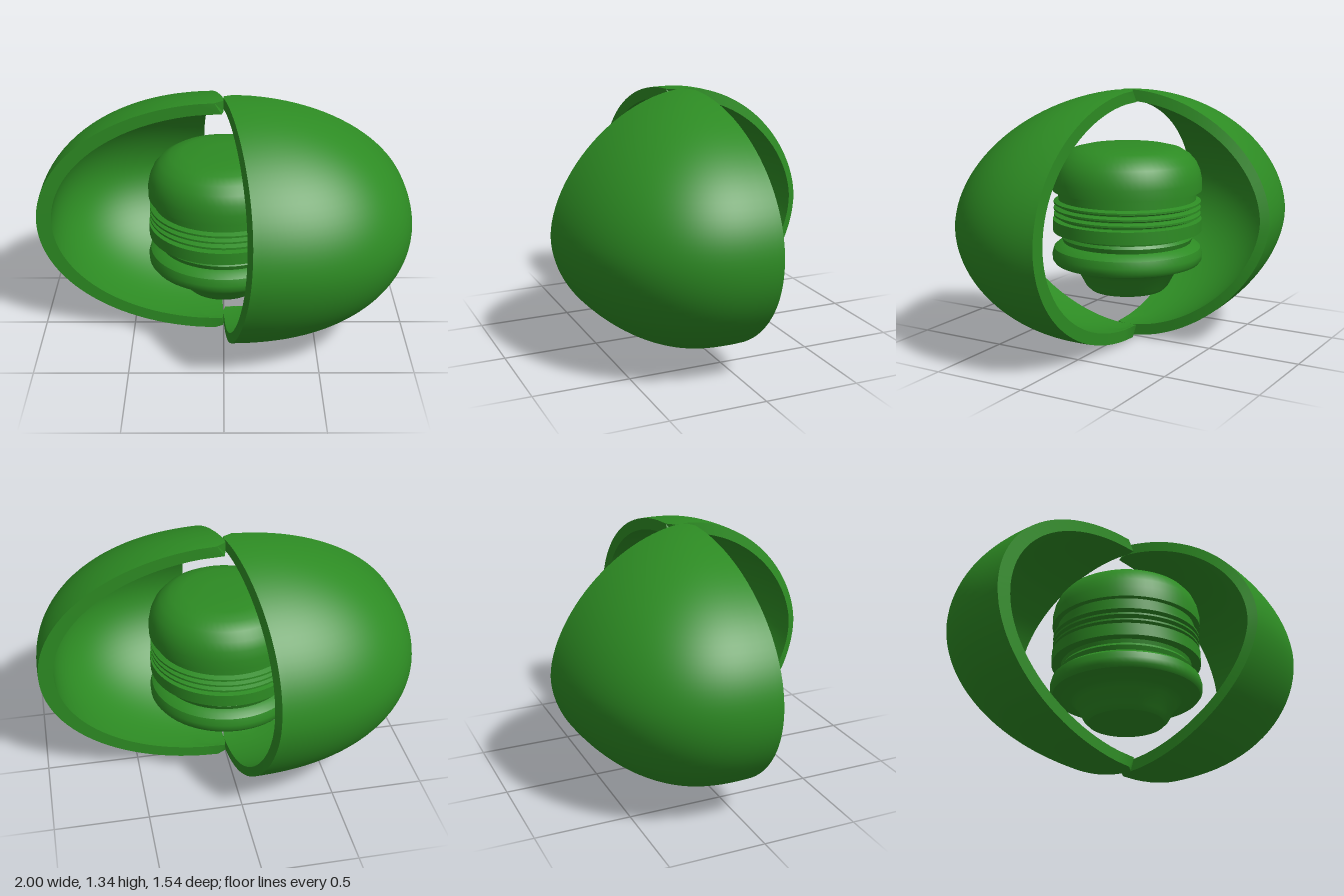
import * as THREE from 'three';
import { toCreasedNormals } from 'three/addons/utils/BufferGeometryUtils.js';

const CENTRE_Y = 0.675;
const PLAN = 2 / 2.35;  // squarish plan curve
const SIDE = 1.82;      // slightly pointed side curve

// Point on one shell skin: phi is latitude, t runs from the flat rim (0) to the leading edge (1)
function skinPoint(skin, phi, t) {
  const s = Math.sin(phi);
  const c = Math.max(Math.cos(phi), 1e-4);
  const cz = Math.max(1 - Math.abs(s) ** SIDE, 1e-6) ** (1 / SIDE);
  const rim = Math.min(1, (0.06 + 0.02 * c) / (skin.z * cz));
  const edge = skin.edge * (1 + 0.45 * s - 0.25 * s * s);
  const start = -Math.asin(rim ** (1 / PLAN));
  const end = Math.acos(edge ** (1 / PLAN));
  const a = start + (end - start) * t;
  const sin = Math.sin(a);
  return [
    skin.x * c * Math.cos(a) ** PLAN,
    CENTRE_Y + skin.y * s,
    skin.z * cz * Math.sign(sin) * Math.abs(sin) ** PLAN,
  ];
}

// Thick quarter-shell blade: closed loops (outer skin, then inner skin back) stacked by latitude
function bladeGeometry() {
  const outer = { x: 1.0, y: 0.672, z: 0.773, edge: 0.13 };
  const inner = { x: 0.92, y: 0.612, z: 0.728, edge: 0.115 };
  const rows = 56, cols = 40, loop = 2 * (cols + 1);
  const positions = [], index = [];
  for (let i = 0; i <= rows; i++) {
    const phi = (i / rows - 0.5) * Math.PI;
    for (let j = 0; j <= cols; j++) positions.push(...skinPoint(outer, phi, j / cols));
    for (let j = cols; j >= 0; j--) positions.push(...skinPoint(inner, phi, j / cols));
  }
  for (let i = 0; i < rows; i++) {
    for (let j = 0; j < loop; j++) {
      const k = (j + 1) % loop;
      const a = i * loop + j, b = a + loop, c = i * loop + k, d = c + loop;
      index.push(a, b, c, b, d, c);
    }
  }
  const g = new THREE.BufferGeometry();
  g.setAttribute('position', new THREE.Float32BufferAttribute(positions, 3));
  g.setIndex(index);
  return toCreasedNormals(g, 0.7);
}

// Lathe from [radius, height] pairs, listed bottom to top
function turned(profile) {
  const g = new THREE.LatheGeometry(profile.map(([r, y]) => new THREE.Vector2(r, y)), 64);
  return toCreasedNormals(g, 0.6);
}

export function createModel() {
  const model = new THREE.Group();
  model.name = 'turbine';
  const green = new THREE.MeshStandardMaterial({ color: 0x2d8b23 });
  green.name = 'leaf green';
  green.side = THREE.DoubleSide;

  const add = (name, geometry) => {
    const mesh = new THREE.Mesh(geometry, green);
    mesh.name = name;
    model.add(mesh);
    return mesh;
  };

  // Two identical blades, half a turn apart
  const blade = bladeGeometry();
  add('leftBlade', blade);
  add('rightBlade', blade).rotation.y = Math.PI;

  // Central housing: tapered foot and rounded lower bulge
  add('lowerHousing', turned([
    [0, 0.27], [0.2, 0.27], [0.225, 0.295], [0.265, 0.37], [0.295, 0.395], [0.35, 0.41],
    [0.39, 0.422], [0.403, 0.44], [0.405, 0.47], [0.395, 0.505], [0.37, 0.525], [0.345, 0.535],
    [0.355, 0.56], [0.345, 0.575], [0.35, 0.595], [0, 0.595],
  ]));

  // Collar and ribbed neck
  const neck = [[0, 0.595], [0.4, 0.595], [0.4, 0.66], [0.37, 0.665]];
  for (let i = 0; i < 3; i++) {
    const y = 0.67 + i * 0.033;
    neck.push([0.37, y], [0.395, y + 0.01], [0.395, y + 0.02], [0.37, y + 0.03]);
  }
  neck.push([0.37, 0.775], [0.37, 0.815], [0, 0.815]);
  add('ribbedNeck', turned(neck));

  // Domed cap
  add('domedCap', turned([
    [0, 0.815], [0.4, 0.815], [0.4, 0.87], [0.39, 0.92], [0.37, 0.965], [0.335, 1.005],
    [0.285, 1.035], [0.22, 1.05], [0.1, 1.055], [0, 1.055],
  ]));

  return model;
}
